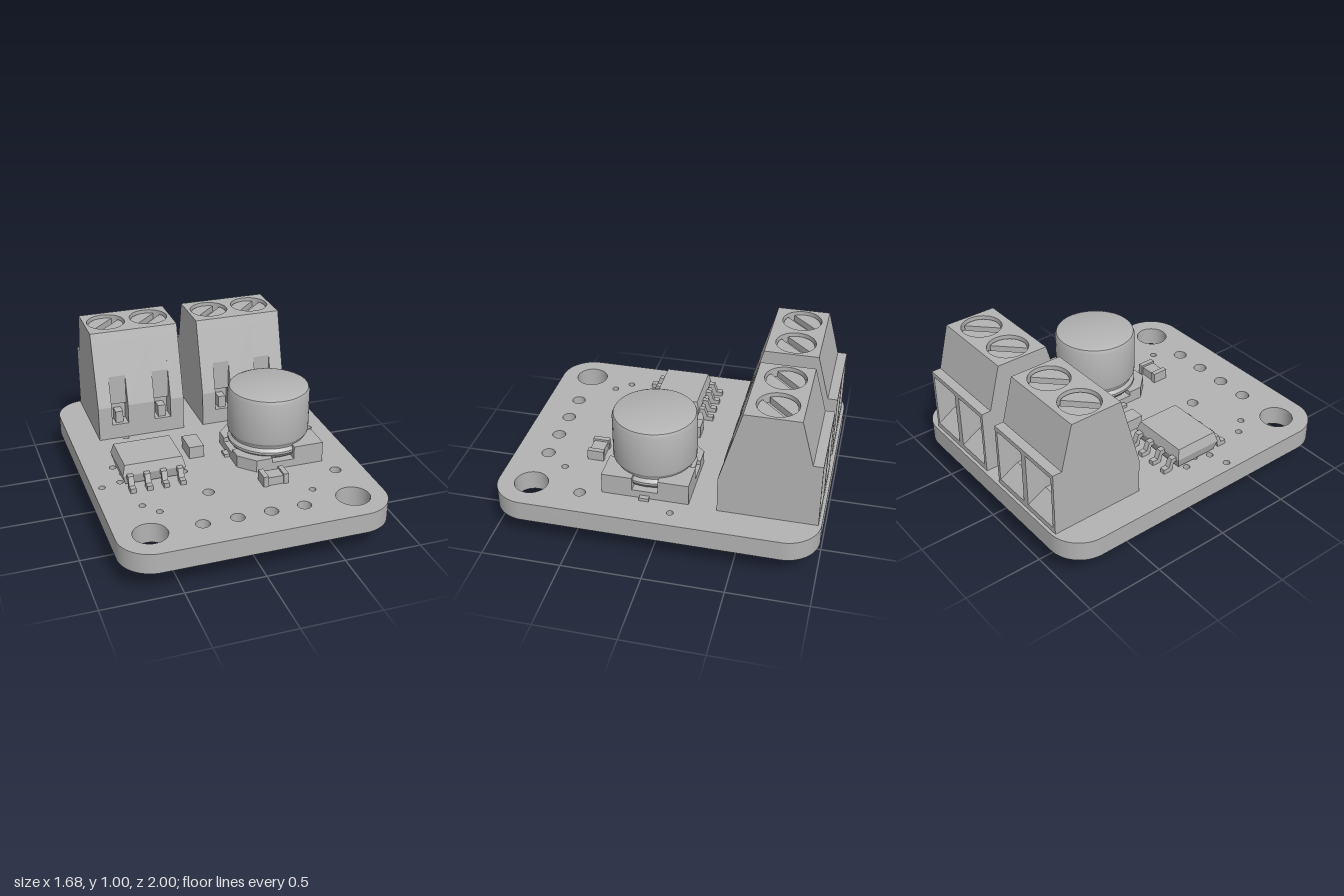
import * as THREE from 'three';
import { toCreasedNormals } from 'three/addons/utils/BufferGeometryUtils.js';

const grey = new THREE.MeshStandardMaterial({ color: 0xb3b3b3 });
grey.name = 'grey';

const crease = (g) => toCreasedNormals(g, 0.5);

function add(parent, name, geometry) {
  const mesh = new THREE.Mesh(geometry, grey);
  mesh.name = name;
  parent.add(mesh);
  return mesh;
}

function box(parent, name, x0, x1, y0, y1, z0, z1) {
  const mesh = add(parent, name, new THREE.BoxGeometry(x1 - x0, y1 - y0, z1 - z0));
  mesh.position.set((x0 + x1) / 2, (y0 + y1) / 2, (z0 + z1) / 2);
  return mesh;
}

const poly = (pts) => new THREE.Shape(pts.map(([a, b]) => new THREE.Vector2(a, b)));
const rect = (a0, a1, b0, b1) => poly([[a0, b0], [a1, b0], [a1, b1], [a0, b1]]);
const circle = (x, z, r) => new THREE.Path().absarc(x, z, r, 0, Math.PI * 2, false);
const extrude = (shape, depth, curveSegments = 12) =>
  new THREE.ExtrudeGeometry(shape, { depth, bevelEnabled: false, curveSegments });

// Horizontal plate from an (x, z) outline, hanging down from its top height
const plate = (shape, top, h, seg) => extrude(shape, h, seg).rotateX(Math.PI / 2).translate(0, top, 0);

// Side profile in (z, y) swept from x0 to x1
const strip = (pts, x0, x1) => extrude(poly(pts), x1 - x0).rotateY(-Math.PI / 2).translate(x1, 0, 0);

// Moves every vertex by a rule, then refreshes the normals
function reshape(g, rule) {
  const p = g.attributes.position, v = new THREE.Vector3();
  for (let i = 0; i < p.count; i++) {
    v.fromBufferAttribute(p, i);
    rule(v);
    p.setXYZ(i, v.x, v.y, v.z);
  }
  g.computeVertexNormals();
  return g;
}

function makeBoard(parent) {
  const w = 0.84, r = 0.21, d = 1, s = new THREE.Shape();
  s.absarc(w - r, d - r, r, 0, Math.PI / 2);
  s.absarc(r - w, d - r, r, Math.PI / 2, Math.PI);
  s.absarc(r - w, r - d, r, Math.PI, Math.PI * 1.5);
  s.absarc(w - r, r - d, r, Math.PI * 1.5, Math.PI * 2);
  const holes = [
    [0.105, [[-0.635, 0.79], [0.63, 0.79]]],                                    // mounting holes
    [0.043, [[-0.32, 0.79], [-0.107, 0.79], [0.103, 0.79], [0.313, 0.79]]],     // header holes
    [0.036, [[-0.18, 0.47], [0.66, 0.47]]],
    [0.021, [[-0.6, 0.49], [-0.52, 0.585], [0.43, 0.64], [-0.78, 0.215], [0.725, -0.11], [-0.48, -0.365],
      [-0.66, -0.005], [-0.245, -0.005], [-0.66, 0.185], [-0.245, 0.185], [-0.29, 0.1], [-0.38, 0.14],
      [-0.38, 0.03], [-0.54, 0.15], [-0.54, 0.03], [-0.62, 0.09],
      [0.48, -0.47], [0.51, -0.1], [0.54, 0.24], [0.25, 0.26]]],                // vias
  ];
  for (const [radius, list] of holes)
    for (const [x, z] of list) s.holes.push(circle(x, z, radius));
  add(parent, 'board', crease(plate(s, 0.3, 0.13, 14)));
}

function makeTerminal() {
  const g = new THREE.Group();
  g.name = 'screwTerminal';
  const W = 0.29, ways = [-0.145, 0.145];
  const back = [[-0.493, 0.945], [-0.7, 0.945], [-0.7, 0.3], [-0.375, 0.3]];
  const solid = [...back, [-0.375, 0.53]];
  const notched = [...back, [-0.375, 0.4], [-0.47, 0.4], [-0.47, 0.525], [-0.43, 0.525], [-0.43, 0.723]];

  // Front half, sliced so the clamp slots cut into the sloping face
  for (const [x0, x1] of [[-W, -0.2], [-0.09, 0.09], [0.2, W]]) add(g, 'frontWall', strip(solid, x0, x1));
  for (const x of ways) {
    add(g, 'slotWall', strip(notched, x - 0.055, x + 0.055));
    box(g, 'clampTab', x - 0.025, x + 0.025, 0.4, 0.48, -0.47, -0.4);
  }
  add(g, 'rearSlope', strip([[-0.7, 0.945], [-0.861, 0.945], [-0.92, 0.72], [-0.7, 0.72]], -W, W));

  // Top slab with screw wells, its long sides following the slopes
  const top = rect(-W, W, -0.845, -0.51);
  for (const x of ways) top.holes.push(circle(x, -0.685, 0.125));
  add(g, 'topSlab', crease(reshape(plate(top, 1.005, 0.06, 20), (v) => {
    if (v.y > 0.97) return;
    if (v.z > -0.511) v.z = -0.493;
    if (v.z < -0.844) v.z = -0.861;
  })));

  // Screw heads: two segments either side of a diagonal slot
  for (const x of ways) for (const side of [0, Math.PI]) {
    const seg = new THREE.Shape().absarc(0, 0, 0.116, 0.22, Math.PI - 0.22);
    const head = add(g, 'screwHead', crease(plate(seg, 0.985, 0.04, 20)));
    head.rotation.y = Math.PI / 4 + side;
    head.position.set(x, 0, -0.685);
  }

  // Rear wire entries: a tapered funnel frame, then a straight tunnel
  const outer = { h: 0.123, y0: 0.335, y1: 0.69 }, inner = { h: 0.085, y0: 0.44, y1: 0.66 };
  const frame = (hole, y1, z0, z1) => {
    const s = rect(-W, W, 0.3, y1);
    for (const x of ways) s.holes.push(rect(x - hole.h, x + hole.h, hole.y0, hole.y1));
    return extrude(s, z1 - z0).translate(0, 0, z0);
  };
  add(g, 'wireFunnel', reshape(frame(outer, 0.72, -0.98, -0.88), (v) => {
    if (v.z < -0.9 || Math.abs(v.x) > W - 0.01 || v.y < 0.31 || v.y > 0.71) return;
    const c = Math.sign(v.x) * 0.145;
    v.x = c + Math.sign(v.x - c) * inner.h;
    v.y = v.y < 0.5 ? inner.y0 : inner.y1;
  }));
  add(g, 'wireTunnel', frame(inner, 0.72, -0.88, -0.7));

  // Solder pins with pointed tips
  for (const x of ways) {
    const pin = poly([[-0.037, 0.3], [-0.037, 0.06], [-0.015, 0], [0.015, 0], [0.037, 0.06], [0.037, 0.3]]);
    add(g, 'solderPin', extrude(pin, 0.05).translate(x, 0, -0.705));
  }
  return g;
}

function makeChip(parent) {
  const g = new THREE.Group();
  g.name = 'chip';
  // Body bulging at mid height
  const body = new THREE.BoxGeometry(0.4, 0.13, 0.32, 1, 2, 1).toNonIndexed();
  add(g, 'chipBody', reshape(body, (v) => {
    if (Math.abs(v.y) < 0.01) return;
    v.x -= Math.sign(v.x) * 0.017;
    v.z -= Math.sign(v.z) * 0.017;
  })).position.set(-0.455, 0.375, 0.09);
  // Gull-wing leads on both long sides
  const lead = [[0.23, 0.385], [0.283, 0.385], [0.302, 0.33], [0.34, 0.33], [0.34, 0.3], [0.28, 0.3],
    [0.265, 0.355], [0.23, 0.355]];
  for (let i = 0; i < 4; i++) {
    const x = -0.613 + i * 0.105;
    for (const pts of [lead, lead.map(([z, y]) => [0.18 - z, y])])
      add(g, 'chipLead', strip(pts, x - 0.018, x + 0.018));
  }
  parent.add(g);
}

function makeCapacitor(parent) {
  const g = new THREE.Group();
  g.name = 'capacitor';
  const cx = 0.355, cz = 0.07;
  // Can with a rounded rim and a crimped neck
  const profile = [[0, 0.345], [0.21, 0.345], [0.24, 0.365], [0.258, 0.39], [0.258, 0.405], [0.24, 0.425],
    [0.243, 0.44], [0.258, 0.46], [0.26, 0.475], [0.26, 0.735], [0.251, 0.757], [0.23, 0.766], [0, 0.766]];
  add(g, 'can', crease(new THREE.LatheGeometry(profile.map(([r, y]) => new THREE.Vector2(r, y)), 48)))
    .position.set(cx, 0, cz);
  // Base plate with two cut corners, and raised corner blocks
  add(g, 'base', plate(poly([[0.085, -0.1], [0.18, -0.2], [0.625, -0.2], [0.625, 0.34], [0.18, 0.34],
    [0.085, 0.24]]), 0.35, 0.05));
  for (const s of [-1, 1]) {
    const z = (d) => cz + s * d;
    const post = poly([[0.43, z(0.27)], [0.625, z(0.27)], [0.625, z(0.08)], [0.56, z(0.08)], [0.43, z(0.2)]]);
    add(g, 'tallCorner', plate(post, 0.435, 0.135));
    const cut = poly([[0.085, z(0.08)], [0.085, z(0.17)], [0.18, z(0.27)], [0.285, z(0.27)], [0.285, z(0.2)],
      [0.15, z(0.08)]]);
    add(g, 'lowCorner', plate(cut, 0.38, 0.08));
  }
  box(g, 'capacitorLead', 0.052, 0.12, 0.3, 0.32, 0.04, 0.1);
  box(g, 'capacitorLead', 0.6, 0.655, 0.3, 0.32, 0.04, 0.1);
  parent.add(g);
}

export function createModel() {
  const model = new THREE.Group();
  model.name = 'driverBoard';
  makeBoard(model);
  for (const x of [-0.365, 0.35]) {
    const t = makeTerminal();
    t.position.x = x;
    model.add(t);
  }
  makeChip(model);
  makeCapacitor(model);

  // Small surface parts
  box(model, 'smallComponent', -0.168, -0.07, 0.3, 0.38, -0.12, 0.045);
  box(model, 'resistorBody', 0.185, 0.295, 0.3, 0.355, 0.428, 0.517);
  box(model, 'resistorEnd', 0.157, 0.19, 0.3, 0.368, 0.42, 0.525);
  box(model, 'resistorEnd', 0.288, 0.32, 0.3, 0.368, 0.42, 0.525);
  return model;
}
